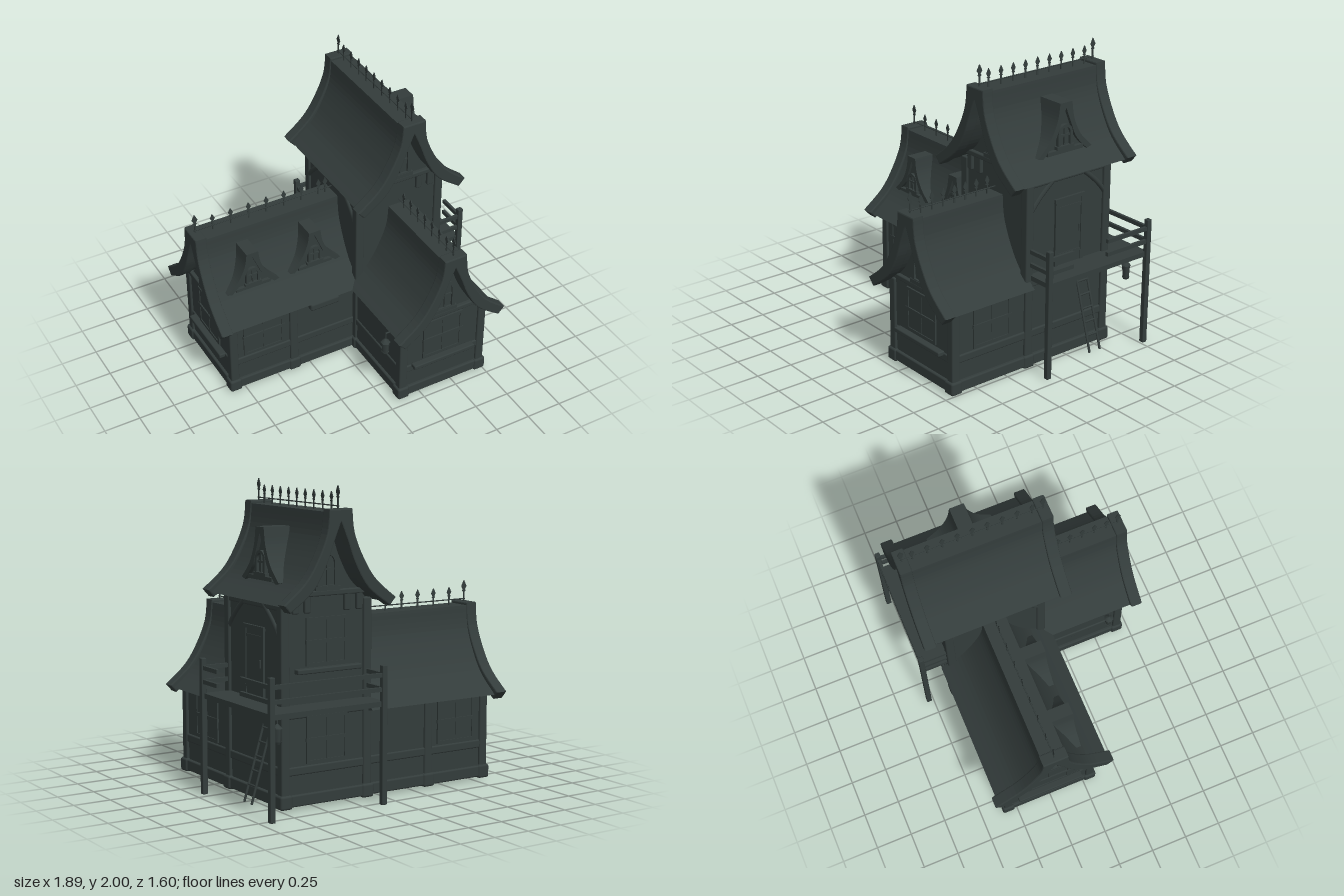
import * as THREE from 'three';
import { RoundedBoxGeometry } from 'three/addons/geometries/RoundedBoxGeometry.js';

const slate = new THREE.MeshStandardMaterial({ color: 0x333c3b });
slate.name = 'dark slate';

function add(parent, name, geo, x = 0, y = 0, z = 0) {
  const m = new THREE.Mesh(geo, slate);
  m.name = name;
  m.position.set(x, y, z);
  parent.add(m);
  return m;
}
// Box given by its bounds; soft edges when r > 0
function box(parent, name, x0, x1, y0, y1, z0, z1, r = 0) {
  const s = [x1 - x0, y1 - y0, z1 - z0];
  const g = r ? new RoundedBoxGeometry(...s, 2, r) : new THREE.BoxGeometry(...s);
  return add(parent, name, g, (x0 + x1) / 2, (y0 + y1) / 2, (z0 + z1) / 2);
}
function rod(parent, name, a, b, r) {
  const p = new THREE.Vector3(...a), d = new THREE.Vector3(...b).sub(p);
  const m = add(parent, name, new THREE.CylinderGeometry(r, r, d.length(), 8));
  m.position.copy(p).addScaledVector(d, 0.5);
  m.quaternion.setFromUnitVectors(new THREE.Vector3(0, 1, 0), d.normalize());
}
function group(parent, name, x = 0, y = 0, z = 0, ry = 0) {
  const g = new THREE.Group();
  g.name = name;
  g.position.set(x, y, z);
  g.rotation.y = ry;
  parent.add(g);
  return g;
}
const row = (a, step, n) => Array.from({ length: n }, (_, i) => a + i * step);
const spline = (pts) => new THREE.SplineCurve(pts.map((p) => new THREE.Vector2(...p))).getPoints(20);
const mirror = (pts) => pts.map((p) => new THREE.Vector2(-p.x, p.y)).reverse();
const extrude = (shape, depth, bevel = 0) => new THREE.ExtrudeGeometry(shape, {
  depth: depth - 2 * bevel, bevelEnabled: bevel > 0, bevelSize: bevel, bevelThickness: bevel, bevelOffset: -bevel, bevelSegments: 2,
}).translate(0, 0, bevel);

// Flared roof profiles, measured from the ridge
const OUTER = [[0.082, 0], [0.1, -0.15], [0.17, -0.31], [0.26, -0.44], [0.405, -0.56]];
const INNER = [[0, -0.08], [0.05, -0.2], [0.105, -0.34], [0.2, -0.49], [0.36, -0.61]];
const GABLE = [[0, -0.07], [0.06, -0.2], [0.12, -0.34], [0.21, -0.48], [0.3, -0.58]];
const DORMER_OUT = [[0.042, 0], [0.06, -0.1], [0.11, -0.2], [0.19, -0.28]];
const DORMER_IN = [[0, -0.03], [0.037, -0.12], [0.078, -0.21], [0.155, -0.29]];

// Symmetric roof band between two profiles
function band(outer, inner) {
  const o = spline(outer), i = spline(inner);
  return new THREE.Shape([...mirror(o), ...o, ...i.slice(1).reverse(), ...mirror(i).reverse()]);
}
// Symmetric solid under a profile that starts at the apex
function fill(pts) {
  const p = spline(pts);
  return new THREE.Shape([...mirror(p), ...p.slice(1)]);
}

// Flat spike lying in the plane of the ridge
function spike(parent, y, z, h) {
  const p = [[0.005, 0], [0.005, 0.45], [0.013, 0.5], [0.006, 0.56], [0.018, 0.72], [0.001, 1]]
    .map(([r, t]) => new THREE.Vector2(r * h / 0.125, t * h));
  add(parent, 'ridgeSpike', extrude(new THREE.Shape([...p, ...mirror(p)]), 0.006)
    .translate(0, 0, -0.003).rotateY(Math.PI / 2), 0, y, z);
}

// Arched window with its base at y = 0, facing +z
function archWindow(parent, x, y, z, w, h, ry = 0) {
  const g = group(parent, 'archedWindow', x, y, z, ry);
  const arch = (a, b, base, T) => {
    const s = new T();
    s.moveTo(-a, base); s.lineTo(a, base); s.lineTo(a, b - a);
    s.absarc(0, b - a, a, 0, Math.PI, false);
    s.lineTo(-a, base);
    return s;
  };
  const t = w * 0.16, frame = arch(w / 2, h, 0, THREE.Shape);
  frame.holes.push(arch(w / 2 - t, h - t, t, THREE.Path));
  add(g, 'windowFrame', extrude(frame, 0.02));
  add(g, 'windowPane', extrude(arch(w / 2 - t, h - t, t, THREE.Shape), 0.006));
  box(g, 'mullion', -0.005, 0.005, t, h - t, 0, 0.015);
  box(g, 'crossBar', -w / 2 + t, w / 2 - t, h * 0.5, h * 0.5 + 0.012, 0, 0.015);
  box(g, 'sill', -w * 0.6, w * 0.6, -0.012, 0.018, 0, 0.024);
}
// Wide window centred in x, facing +z
function wideWindow(parent, x, y, z, ry = 0, sill = false) {
  const g = group(parent, 'wideWindow', x, y, z, ry);
  const w = 0.14, h = 0.28;
  box(g, 'windowPane', -w, w, 0, h, 0, 0.005);
  for (const s of [-1, 1]) box(g, 'frameSide', s * w - 0.01, s * w + 0.01, 0, h, 0, 0.011);
  for (const t of [0, h]) box(g, 'frameRail', -w - 0.01, w + 0.01, t - 0.01, t + 0.01, 0, 0.011);
  box(g, 'middleRail', -w - 0.014, w + 0.014, h / 2 - 0.012, h / 2 + 0.012, 0, 0.014);
  box(g, 'mullion', -0.005, 0.005, 0, h, 0, 0.009);
  if (sill) box(g, 'sill', -0.235, 0.235, -0.05, -0.018, 0, 0.05, 0.008);
}
function dormer(parent, x, y, z, scale, ry = 0) {
  const g = group(parent, 'dormer', x, y, z, ry);
  g.scale.setScalar(scale);
  add(g, 'dormerRoof', extrude(band(DORMER_OUT, DORMER_IN), 0.2), 0, 0, -0.2);
  add(g, 'dormerFront', extrude(fill(DORMER_IN), 0.17), 0, 0, -0.19);
  box(g, 'dormerBeam', -0.125, 0.125, -0.28, -0.258, -0.02, 0.003);
  archWindow(g, 0, -0.258, -0.02, 0.1, 0.135);
}
// Gable roof along local z with ridge fence and end boards; w widens the profile
function roof(parent, name, x, y, z, ry, w, z0, z1, boards, gables, spikes) {
  const g = group(parent, name, x, y, z, ry);
  const fit = (pts, s, dy) => pts.map(([px, py]) => [px * s * w, py + dy]);
  add(g, 'roofSlab', extrude(band(fit(OUTER, 0.935, -0.018), fit(INNER, 0.935, 0.025)), z1 - z0 - 0.04), 0, 0, z0 + 0.02);
  for (const b of boards) add(g, 'gableBoard', extrude(band(fit(OUTER, 1, 0), fit(INNER, 1, 0)), 0.08, 0.008), 0, 0, b);
  for (const [gz, dir] of gables) {
    add(g, 'gableWall', extrude(fill(GABLE), 0.06), 0, 0, dir > 0 ? gz - 0.06 : gz);
    box(g, 'gableBeam', -0.275, 0.275, -0.54, -0.505, gz - 0.025, gz + 0.025, 0.008);
    archWindow(g, 0, -0.5, gz, 0.15, 0.235, dir > 0 ? 0 : Math.PI);
  }
  rod(g, 'ridgeRail', [0, 0.016, z0 + 0.03], [0, 0.016, z1 - 0.03], 0.004);
  for (const b of boards) spike(g, 0, b + 0.04, 0.14);
  for (const s of spikes) spike(g, -0.018, s, 0.12);
}
function lantern(parent, x, y, z) {
  const g = group(parent, 'lantern', x, y, z);
  add(g, 'lanternBody', new THREE.CylinderGeometry(0.027, 0.022, 0.085, 6), 0, -0.1, 0);
  add(g, 'lanternCap', new THREE.ConeGeometry(0.034, 0.035, 6), 0, -0.042, 0);
  add(g, 'lanternBase', new THREE.CylinderGeometry(0.026, 0.02, 0.015, 6), 0, -0.148, 0);
  rod(g, 'lanternHook', [0, -0.03, 0], [0, 0.02, 0], 0.004);
}

export function createModel() {
  const house = new THREE.Group();
  house.name = 'house';
  const CX = 0.415, CZ = -0.255;

  // Walls
  box(house, 'towerWall', 0.1, 0.73, 0.03, 1.29, -0.59, 0.09);
  box(house, 'frontWingWall', 0.1, 0.73, 0.03, 0.585, 0.05, 0.68);
  box(house, 'sideWingWall', -0.84, 0.12, 0.03, 0.585, -0.575, 0.065);

  // Roofs
  roof(house, 'towerRoof', CX, 1.86, 0, 0, 1, -0.76, 0.26, [-0.76, 0.18], [[0.09, 1], [-0.59, -1]], row(0.148, -0.0995, 9));
  roof(house, 'frontWingRoof', CX, 1.155, 0, 0, 1, 0.05, 0.8, [0.72], [[0.68, 1]], row(0.68, -0.0875, 7));
  roof(house, 'sideWingRoof', 0, 1.155, CZ, -Math.PI / 2, 1.05, -0.13, 0.945, [0.865], [[0.84, 1]], [...row(0.78, -0.13, 7), -0.05]);
  dormer(house, -0.62, 1.04, -0.015, 1);
  dormer(house, -0.16, 1.04, -0.015, 1);
  dormer(house, 0.69, 1.73, CZ, 1.18, Math.PI / 2);

  // Corner posts with base blocks: x, z, top
  const posts = [[0.115, 0.665, 0.6], [0.718, 0.665, 0.6], [0.115, 0.075, 1.29], [0.718, 0.075, 1.29],
    [0.115, -0.575, 1.29], [0.718, -0.575, 1.29], [-0.825, 0.05, 0.6], [-0.825, -0.56, 0.6],
    [-0.375, 0.05, 0.6], [-0.375, -0.56, 0.6]];
  for (const [x, z, top] of posts) {
    box(house, 'post', x - 0.03, x + 0.03, 0.05, top, z - 0.03, z + 0.03, 0.01);
    box(house, 'postBase', x - 0.043, x + 0.043, 0.01, 0.1, z - 0.043, z + 0.043, 0.015);
  }
  // Horizontal beams around every wall: ends of each run
  const runs = [[0.115, 0.665, 0.718, 0.665], [0.718, 0.665, 0.718, -0.575], [0.718, -0.575, 0.115, -0.575],
    [0.115, 0.665, 0.115, 0.075], [-0.825, 0.05, 0.115, 0.05], [-0.825, 0.05, -0.825, -0.56], [-0.825, -0.56, 0.115, -0.56]];
  const beams = (list, y0, y1, t) => list.forEach(([a, b, c, d]) => box(house, 'beam',
    Math.min(a, c) - t, Math.max(a, c) + t, y0, y1, Math.min(b, d) - t, Math.max(b, d) + t, 0.01));
  beams(runs, 0.02, 0.095, 0.034);
  beams(runs, 0.215, 0.27, 0.024);
  beams([[0.115, 0.075, 0.115, -0.575], [0.718, 0.075, 0.718, -0.575]], 1.24, 1.29, 0.024);
  beams([[0.718, 0.075, 0.718, -0.575], [0.718, -0.575, 0.115, -0.575]], 0.57, 0.62, 0.024);

  // Curved braces under the tower eaves
  for (const x of [0.1, 0.73]) for (const s of [-1, 1]) {
    const p = (y, d) => new THREE.Vector3(x, y, -0.25 + s * d);
    add(house, 'eaveBrace', new THREE.TubeGeometry(
      new THREE.QuadraticBezierCurve3(p(1.08, 0.31), p(1.18, 0.24), p(1.28, 0.1)), 10, 0.018, 6));
  }
  // Brackets under the tower gables
  for (const x of [0.18, 0.27, 0.56, 0.645]) {
    box(house, 'gableBracket', x - 0.022, x + 0.022, 1.22, 1.34, 0.08, 0.112, 0.008);
    box(house, 'gableBracket', x - 0.022, x + 0.022, 1.22, 1.34, -0.612, -0.58, 0.008);
  }

  // Windows
  wideWindow(house, CX, 0.3, 0.68, 0, true);
  wideWindow(house, -0.6, 0.29, 0.065);
  wideWindow(house, 0.73, 0.29, 0.37, Math.PI / 2);
  wideWindow(house, -0.84, 0.29, CZ, -Math.PI / 2, true);
  wideWindow(house, -0.6, 0.29, -0.575, Math.PI);
  wideWindow(house, CX, 0.29, -0.59, Math.PI);
  wideWindow(house, CX, 0.9, -0.59, Math.PI, true);

  // Hanging planter on the side wing
  box(house, 'planterShelf', -0.28, -0.03, 0.545, 0.575, 0.06, 0.1, 0.008);
  box(house, 'planterTray', -0.26, -0.04, 0.482, 0.54, 0.06, 0.11, 0.015);

  // Balcony door
  const door = group(house, 'balconyDoor', 0.73, 0.66, -0.26, Math.PI / 2);
  box(door, 'doorLeaf', -0.1, 0.1, 0, 0.44, 0, 0.008);
  for (const s of [-1, 1]) box(door, 'doorJamb', s * 0.108 - 0.013, s * 0.108 + 0.013, 0, 0.46, 0, 0.015);
  box(door, 'doorLintel', -0.125, 0.125, 0.435, 0.46, 0, 0.017);
  for (const y of [0.06, 0.38]) box(door, 'doorStrap', -0.1, 0.1, y, y + 0.02, 0, 0.012);
  rod(door, 'doorHandle', [0.08, 0.2, 0.012], [0.08, 0.25, 0.012], 0.006);

  // Balcony wrapping the right and back walls
  box(house, 'deckSide', 0.72, 0.925, 0.625, 0.658, -0.785, 0.065);
  box(house, 'deckBack', 0.11, 0.73, 0.625, 0.658, -0.785, -0.58);
  for (const [x, z] of [[0.925, 0.065], [0.925, -0.78], [0.115, -0.78]])
    box(house, 'balconyPost', x - 0.018, x + 0.018, 0, 0.885, z - 0.018, z + 0.018, 0.005);
  for (const y of [0.72, 0.81]) {
    box(house, 'railBack', 0.12, 0.92, y, y + 0.027, -0.79, -0.77);
    box(house, 'railSide', 0.915, 0.935, y, y + 0.027, -0.78, -0.42);
    box(house, 'railSide', 0.915, 0.935, y, y + 0.027, -0.13, 0.055);
    box(house, 'railFront', 0.73, 0.92, y, y + 0.027, 0.055, 0.075);
    box(house, 'railEnd', 0.105, 0.125, y, y + 0.027, -0.78, -0.59);
  }

  // Ladder
  const ladderX = (y) => 0.868 - (y - 0.03) * 0.3;
  for (const z of [-0.35, -0.44]) rod(house, 'ladderRail', [ladderX(0.03), 0.03, z], [ladderX(0.53), 0.53, z], 0.008);
  for (const y of row(0.14, 0.0875, 5)) rod(house, 'ladderRung', [ladderX(y), y, -0.35], [ladderX(y), y, -0.44], 0.007);

  // Lanterns
  lantern(house, 0.83, 0.61, -0.69);
  lantern(house, 0.045, 0.5, 0.57);
  rod(house, 'lanternArm', [0.045, 0.515, 0.57], [0.11, 0.515, 0.57], 0.006);
  return house;
}
